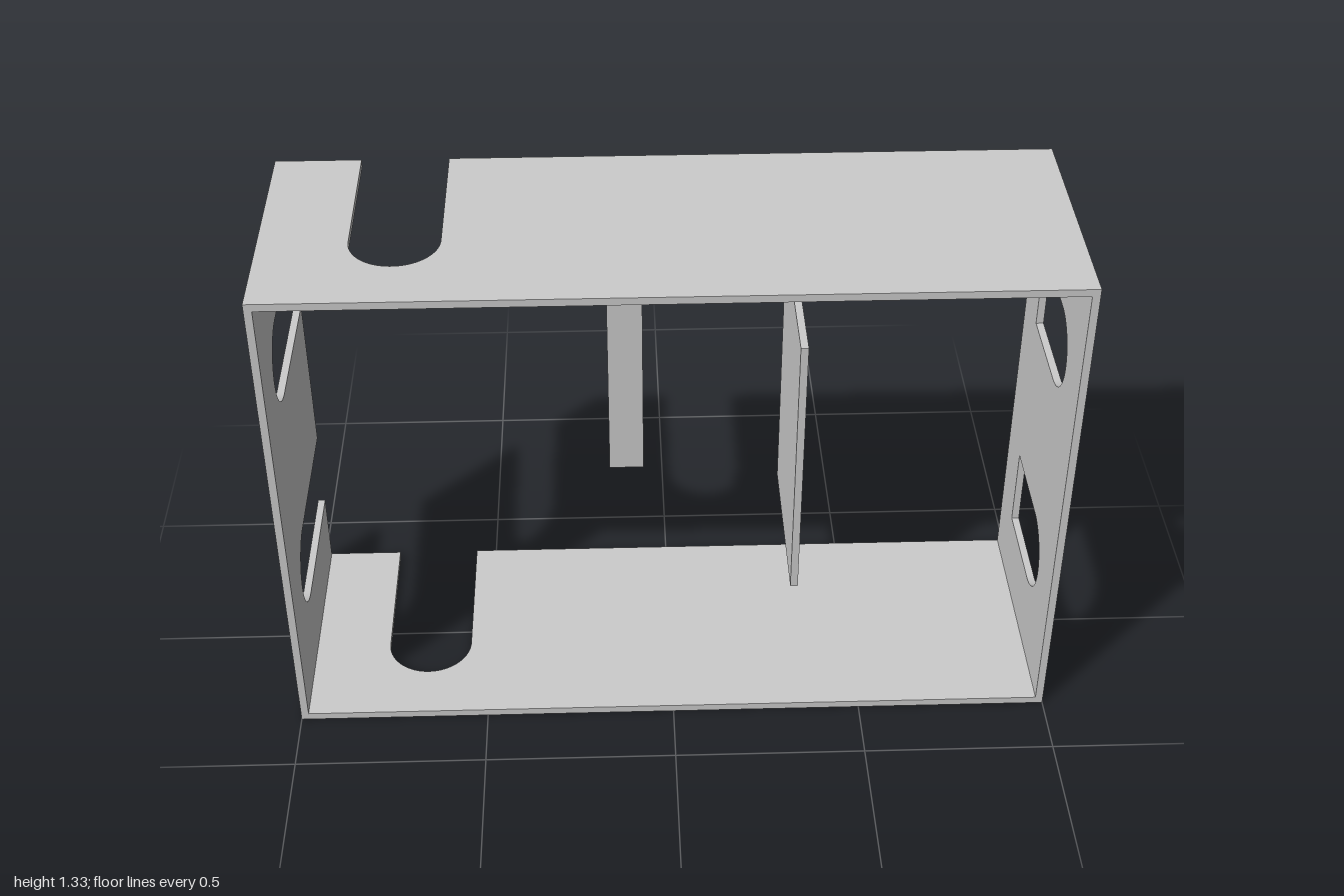
import * as THREE from 'three';

const X = 1, H = 1.333, D = 0.333, T = 0.02; // half width, height, half depth, wall thickness
const R = 0.112, ZC = 0.066, BACK = -0.188;  // slot radius, arc centre, closed slot end

const material = new THREE.MeshStandardMaterial({ color: 0xcccccc });
const axis = (x, y, z) => new THREE.Vector3(x, y, z);

// U-shaped slot edge: in from z = start, round the arc, and back out
function slotEdge(path, c, start) {
  path.lineTo(start, c + R);
  path.lineTo(ZC, c + R);
  path.absarc(ZC, c, R, Math.PI / 2, -Math.PI / 2, true);
  path.lineTo(start, c - R);
}

// Sheet outlined in (z, b); notches open to the back edge, holes are closed
function sheet(b0, b1, notches, holes) {
  const s = new THREE.Shape();
  s.moveTo(D, b0);
  s.lineTo(D, b1);
  s.lineTo(-D, b1);
  notches.forEach((c) => slotEdge(s, c, -D));
  s.lineTo(-D, b0);
  s.closePath();
  holes.forEach((c) => {
    const h = new THREE.Path();
    h.moveTo(BACK, c - R);
    slotEdge(h, c, BACK);
    s.holes.push(h);
  });
  return new THREE.ExtrudeGeometry(s, { depth: T, bevelEnabled: false, curveSegments: 32 });
}

export function createModel() {
  const model = new THREE.Group();
  const add = (parent, name, geometry) => {
    const mesh = new THREE.Mesh(geometry, material);
    mesh.name = name;
    parent.add(mesh);
    return mesh;
  };
  // Box given by its limits
  const box = (parent, name, x0, x1, y0, y1, z0, z1) =>
    add(parent, name, new THREE.BoxGeometry(x1 - x0, y1 - y0, z1 - z0))
      .position.set((x0 + x1) / 2, (y0 + y1) / 2, (z0 + z1) / 2);

  // Outer frame: side walls stand full height, top and bottom fit between them
  const frame = new THREE.Group();
  frame.name = 'frame';
  model.add(frame);
  const upright = new THREE.Matrix4().makeBasis(axis(0, 0, 1), axis(0, 1, 0), axis(-1, 0, 0));
  const level = new THREE.Matrix4().makeBasis(axis(0, 0, 1), axis(1, 0, 0), axis(0, 1, 0));
  const slots = [H * 0.75, H * 0.25];
  add(frame, 'leftWall', sheet(0, H, [], slots).applyMatrix4(upright)).position.x = X;
  add(frame, 'rightWall', sheet(0, H, slots, []).applyMatrix4(upright)).position.x = -X + T;
  for (const [name, y] of [['bottomPanel', 0], ['topPanel', H - T]]) {
    add(frame, name, sheet(-X + T, X - T, [-0.667], []).applyMatrix4(level)).position.y = y;
  }

  // Free-standing divider inside the frame
  box(model, 'dividerPlate', 0.32, 0.34, 0.282, 1.058, -D, 0.155);

  // Small bracket: face plate with four rearward tabs
  const bracket = new THREE.Group();
  bracket.name = 'bracket';
  model.add(bracket);
  const x0 = -0.16, x1 = -0.065, t = 0.014, front = -0.24;
  box(bracket, 'facePlate', x0, x1, 0.391, 0.949, front - t, front);
  for (const y of [0.391, 0.63, 0.696, 0.935]) {
    box(bracket, 'tab', x0, x1, y, y + t, -D, front - t);
  }
  return model;
}
